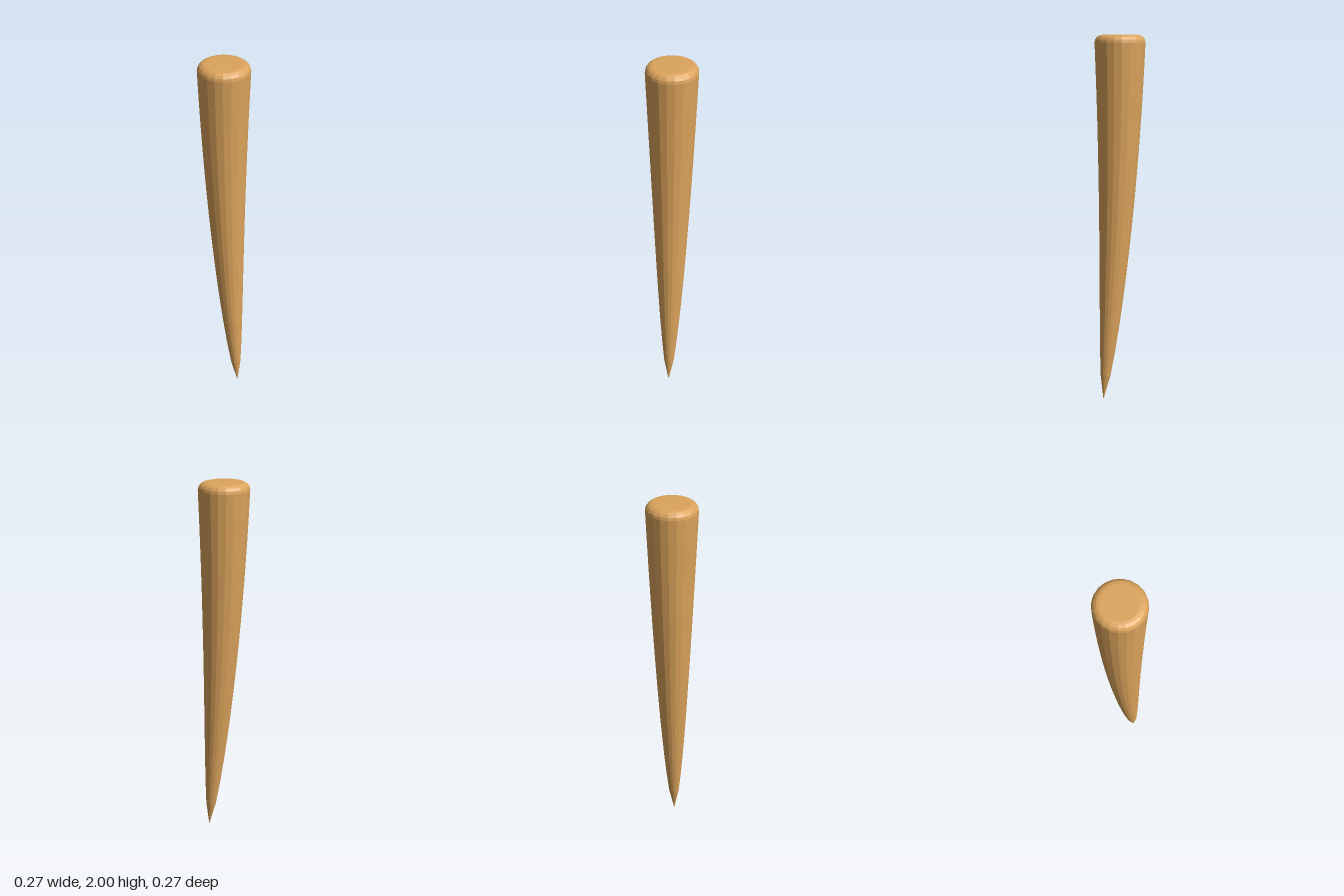
import * as THREE from 'three';

const SIDES = 20, RINGS = 14;
const RIM_Y = 1.96, RIM_R = 0.136, TIP_X = 0.1;

export function createModel() {
  const group = new THREE.Group();
  group.name = 'curvedSpike';

  // Profile: pointed tip, swelling body, rounded rim and flat cap
  const profile = [];
  for (let i = 0; i <= RINGS; i++) {
    const t = i / RINGS;
    profile.push(new THREE.Vector2(RIM_R * Math.pow(t, 0.6), RIM_Y * t));
  }
  const bevel = 2 - RIM_Y;
  for (let i = 1; i <= 4; i++) {
    const a = (i / 4) * Math.PI / 2;
    profile.push(new THREE.Vector2(RIM_R - bevel * (1 - Math.cos(a)), RIM_Y + bevel * Math.sin(a)));
  }
  profile.push(new THREE.Vector2(0, 2));

  // Bend the body sideways towards the tip
  const geometry = new THREE.LatheGeometry(profile, SIDES);
  const pos = geometry.attributes.position;
  for (let i = 0; i < pos.count; i++) {
    const bend = TIP_X * Math.pow(1 - pos.getY(i) / 2, 2);
    pos.setX(i, pos.getX(i) + bend);
  }
  geometry.computeVertexNormals();

  const material = new THREE.MeshStandardMaterial({ color: 0xdca45c, flatShading: true });
  const spike = new THREE.Mesh(geometry, material);
  spike.name = 'spike';
  group.add(spike);
  return group;
}
